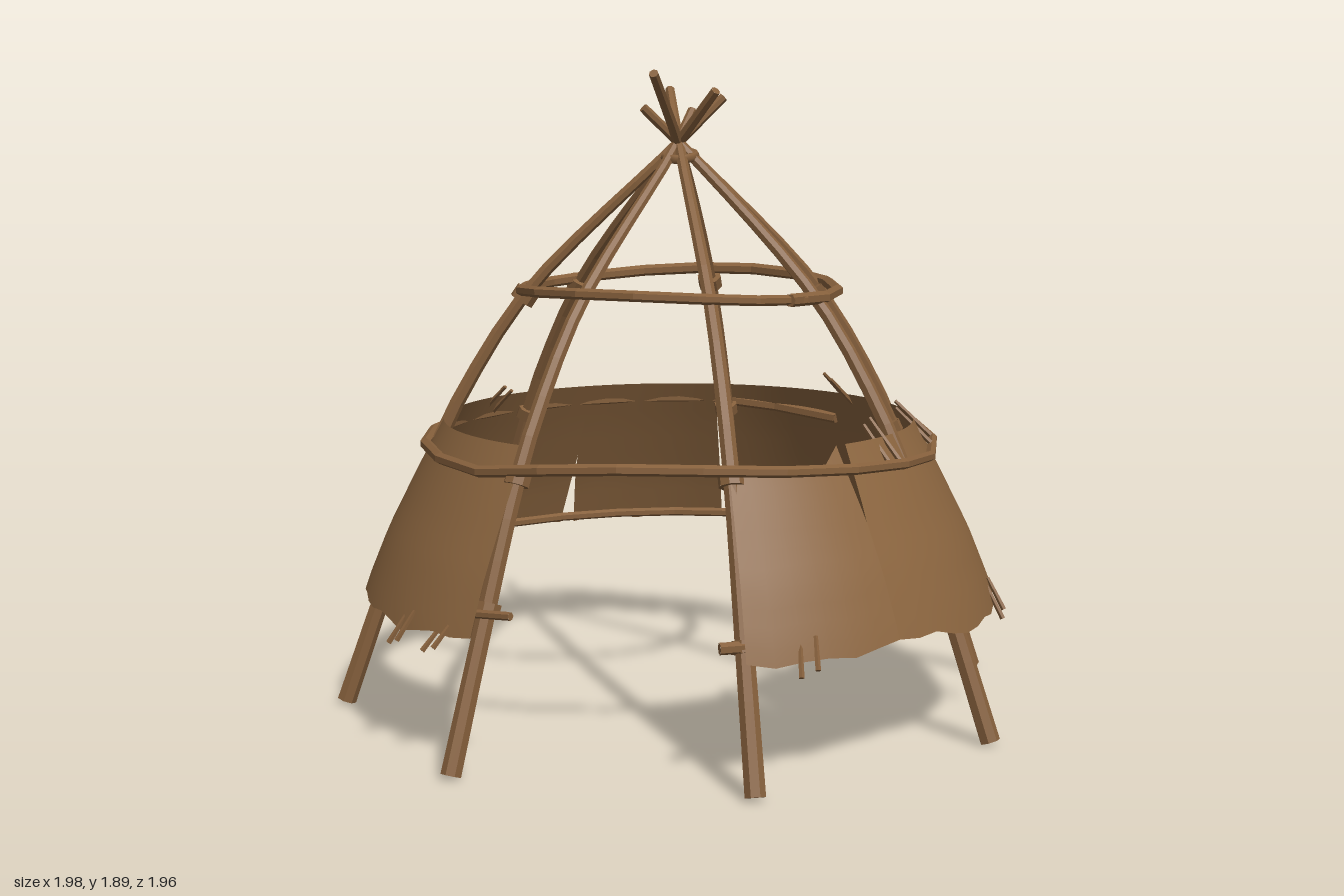
import * as THREE from 'three';
import { mergeGeometries } from 'three/addons/utils/BufferGeometryUtils.js';

const V = (x, y, z) => new THREE.Vector3(x, y, z);
const rad = THREE.MathUtils.degToRad;
const CX = 0.01, CZ = 0.035;
// point on the tent at an angle (0 = front, 90 = +x), radius and height
const polar = (deg, r, y) => V(CX + Math.sin(rad(deg)) * r, y, CZ + Math.cos(rad(deg)) * r);

// linear interpolation through [key, value] pairs
function lerpTable(table, k) {
  for (let i = 1; i < table.length; i++) {
    const [k0, v0] = table[i - 1], [k1, v1] = table[i];
    if (k <= k1) return v0 + (v1 - v0) * (k - k0) / (k1 - k0);
  }
  return table[table.length - 1][1];
}

// tapered, faceted, capped rod along a curve through points
function rodGeometry(points, r0, r1, segments, sides = 7) {
  const curve = new THREE.CatmullRomCurve3(points, false, 'centripetal');
  const tube = new THREE.TubeGeometry(curve, segments, 1, sides);
  const p = tube.attributes.position, v = V();
  for (let i = 0; i <= segments; i++) {
    const c = curve.getPointAt(i / segments), r = r0 + (r1 - r0) * i / segments;
    for (let j = 0; j <= sides; j++) {
      const n = i * (sides + 1) + j;
      v.fromBufferAttribute(p, n).sub(c).multiplyScalar(r).add(c);
      p.setXYZ(n, v.x, v.y, v.z);
    }
  }
  const caps = [[0, r0, -1], [1, r1, 1]].map(([t, r, s]) => {
    const cap = new THREE.CircleGeometry(r, sides);
    cap.applyQuaternion(new THREE.Quaternion().setFromUnitVectors(V(0, 0, 1), curve.getTangentAt(t).multiplyScalar(s)));
    const c = curve.getPointAt(t);
    return cap.translate(c.x, c.y, c.z);
  });
  const g = mergeGeometries([tube, ...caps]).toNonIndexed();
  g.computeVertexNormals();
  return g;
}

// radii of the frame and of the cover by height
const POLE = [[0.03, 1.0], [0.4, 0.87], [0.8, 0.72], [1.0, 0.62], [1.27, 0.44], [1.68, 0.02]];
const COVER = [[0.33, 0.95], [0.41, 0.925], [0.56, 0.865], [0.74, 0.775], [0.89, 0.695]];
// cover edges by angle
const BOTTOM = [[24, 0.37], [32, 0.36], [45, 0.37], [62, 0.39], [66, 0.355], [85, 0.35], [98, 0.375], [102, 0.41],
  [183, 0.41], [228, 0.405], [234, 0.385], [262, 0.375], [300, 0.39], [318, 0.375], [326, 0.385], [336, 0.40]];
const TOP = [[24, 0.84], [50, 0.845], [53, 0.89], [336, 0.89]];

// tears at panel joints: angle -> [height fraction (negative = from the top), half width in degrees]
const TEARS = { 53: [-0.4, 1.4], 136: [0.42, 1.6], 183: [1.6, 1.0], 217: [0.45, 1.5], 274: [0.4, 1.5] };
function tearWidth(deg, v) {
  const t = TEARS[deg];
  if (!t) return 0;
  const d = t[0] < 0 ? (1 - v) / -t[0] : v / t[0];
  return t[1] * Math.max(0, 1 - d);
}

function panelGeometry(a0, a1) {
  const cols = Math.ceil((a1 - a0) / 5), rows = 10, pos = [], idx = [];
  for (let i = 0; i <= cols; i++) {
    for (let j = 0; j <= rows; j++) {
      const u = i / cols, v = j / rows;
      const left = a0 + tearWidth(a0, v), right = a1 - tearWidth(a1, v);
      const a = left + (right - left) * u, nominal = a0 + (a1 - a0) * u;
      const low = lerpTable(BOTTOM, nominal) + 0.008 * Math.sin(nominal * 1.7);
      const y = low + (lerpTable(TOP, nominal) - low) * v;
      pos.push(...polar(a, lerpTable(COVER, y), y).toArray());
      if (i < cols && j < rows) {
        const n = i * (rows + 1) + j, m = n + rows + 1;
        idx.push(n, m, n + 1, m, m + 1, n + 1);
      }
    }
  }
  const g = new THREE.BufferGeometry();
  g.setAttribute('position', new THREE.Float32BufferAttribute(pos, 3));
  g.setIndex(idx);
  g.computeVertexNormals();
  return g;
}

export function createModel() {
  const model = new THREE.Group();
  model.name = 'tentFrame';
  const wood = new THREE.MeshStandardMaterial({ color: 0x86603c });
  wood.name = 'wood';
  const hide = new THREE.MeshStandardMaterial({ color: 0x8b653f, side: THREE.DoubleSide });
  hide.name = 'hide';
  const add = (name, geometry, material = wood) => {
    const mesh = new THREE.Mesh(geometry, material);
    mesh.name = name;
    model.add(mesh);
  };

  // seven bent poles: foot x, foot z, then the tip above the crossing
  const poles = [
    ['backPole', 0, -0.97, V(0, 1.9, 0.3)],
    ['backRightPole', -0.82, -0.53, V(0.14, 1.85, 0.12)],
    ['backLeftPole', 0.82, -0.53, V(-0.08, 1.8, 0.1)],
    ['rightPole', -0.97, 0.3, V(0.13, 1.83, -0.03)],
    ['leftPole', 0.98, 0.3, V(-0.09, 1.79, 0.03)],
    ['frontRightPole', -0.41, 0.95, V(0.03, 1.79, -0.06)],
    ['frontLeftPole', 0.43, 0.95, V(-0.06, 1.85, -0.15)],
  ];
  const angles = poles.map(([, x, z]) => THREE.MathUtils.radToDeg(Math.atan2(x - CX, z - CZ)));
  poles.forEach(([name, , , tip], i) => {
    const points = POLE.map(([y, r]) => polar(angles[i], r, y));
    add(name, rodGeometry([...points, tip], 0.029, 0.014, 18));
  });

  // hide cover, torn at the joints and open at the front
  const joints = [24, 53, 136, 183, 217, 274, 336];
  for (let i = 0; i + 1 < joints.length; i++) add('coverPanel', panelGeometry(joints[i], joints[i + 1]), hide);

  // hoops: bent branches with a little waver
  function hoop(name, from, to, steps, rAt, yAt, r0, r1) {
    const points = [];
    for (let i = 0; i <= steps; i++) {
      const a = from + (to - from) * i / steps;
      points.push(polar(a, rAt(i / steps), yAt(a, i / steps)));
    }
    add(name, rodGeometry(points, r0, r1, steps, 6));
  }
  hoop('upperHoop', 55, 423, 17, () => 0.468, a => 1.278 + 0.014 * Math.cos(rad(2 * a + 20)), 0.019, 0.015);
  hoop('waistHoop', 150, 482, 19, t => 0.742 + 0.018 * t,
    a => lerpTable([[0, 0.86], [40, 0.84], [90, 0.8], [125, 0.835], [150, 0.8], [185, 0.84], [270, 0.83],
      [325, 0.81], [350, 0.85], [370, 0.86], [400, 0.84], [450, 0.8], [485, 0.84]], a), 0.019, 0.015);
  hoop('lowerHoop', 20, 343, 26, () => 0.895, (a, t) => 0.405 + 0.02 * Math.sin(t * Math.PI) + 0.06 * Math.max(0, t * 8 - 7),
    0.017, 0.012);

  // lashings around the poles: pole index, height
  const lashings = [[0, 0.81], [5, 0.8], [6, 0.82], [1, 0.82], [2, 0.82], [3, 0.4], [4, 0.4], [5, 0.46], [6, 0.4],
    [0, 1.25], [1, 1.25], [2, 1.25], [3, 1.25]];
  for (const [i, y] of lashings) {
    const at = h => polar(angles[i], lerpTable(POLE, h), h);
    add('lashing', rodGeometry([at(y - 0.016), at(y + 0.016)], 0.037, 0.037, 1, 8));
  }
  const knot = new THREE.TorusGeometry(0.045, 0.014, 6, 12).rotateX(Math.PI / 2 + 0.2).translate(CX + 0.005, 1.66, CZ + 0.005);
  add('crossingLashing', knot);

  // pairs of pegs through the cover edges: angle, lower height, upper height
  const pegs = [[67, 0.82, 0.93], [98, 0.83, 0.93], [144, 0.85, 0.95], [248, 0.83, 0.92],
    [92, 0.33, 0.42], [136, 0.36, 0.44], [173, 0.37, 0.45], [254, 0.34, 0.42], [318, 0.34, 0.42], [328, 0.35, 0.41], [34, 0.34, 0.42]];
  for (const [a, y0, y1] of pegs) {
    for (const s of [-1, 1]) {
      const top = y0 > 0.6, r = lerpTable(COVER, y0);
      const start = polar(a + s * 1.4, r + 0.02, y0 + s * 0.008);
      const end = polar(a + s * 1.4 + 1, r - (top ? 0.085 : 0.03), y1 + s * 0.008);
      add('peg', rodGeometry([start, end], 0.008, 0.006, 1, 5));
    }
  }
  return model;
}
